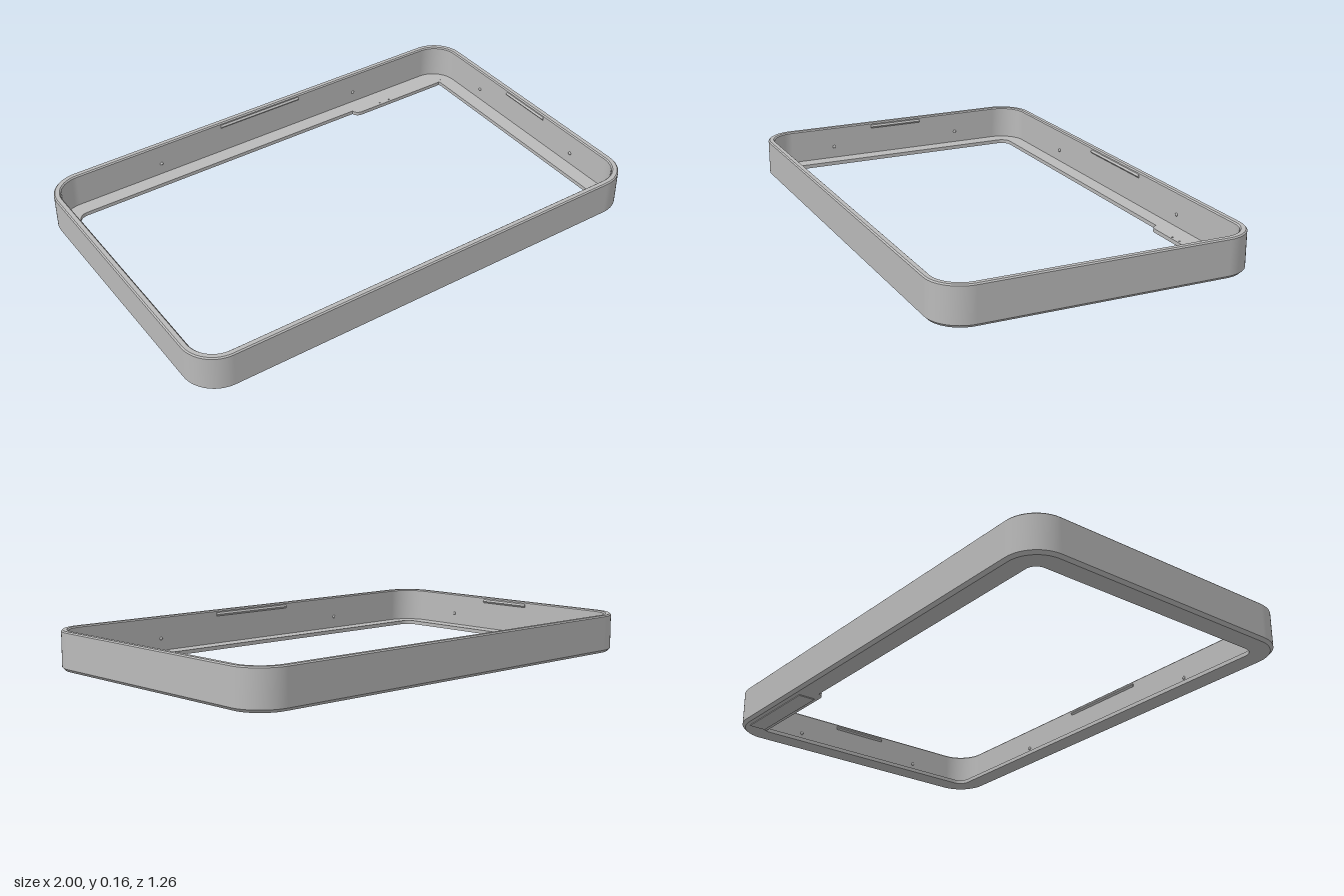
import * as THREE from 'three';

const HALF_X = 1, HALF_Z = 0.631, CORNER = 0.135, SEG = 14;
const grey = new THREE.MeshStandardMaterial({ color: 0xbababa });
grey.name = 'plain grey';

// Points of a rounded rectangle inset from the outer outline
function outline(inset) {
  const r = Math.max(CORNER - inset, 0.035);
  const cx = HALF_X - inset - r, cz = HALF_Z - inset - r;
  const pts = [];
  [[1, 1], [-1, 1], [-1, -1], [1, -1]].forEach(([sx, sz], q) => {
    for (let i = 0; i <= SEG; i++) {
      const a = (q + i / SEG) * Math.PI / 2;
      pts.push([sx * cx + r * Math.cos(a), sz * cz + r * Math.sin(a)]);
    }
  });
  return pts;
}

// One smooth band between two [inset, y] rings; separate bands keep edges sharp
function band([i0, y0], [i1, y1]) {
  const a = outline(i0), b = outline(i1), n = a.length;
  const pos = [], index = [];
  a.forEach(([x, z]) => pos.push(x, y0, z));
  b.forEach(([x, z]) => pos.push(x, y1, z));
  for (let i = 0; i < n; i++) {
    const j = (i + 1) % n;
    index.push(i, n + i, j, j, n + i, n + j);
  }
  const g = new THREE.BufferGeometry();
  g.setAttribute('position', new THREE.Float32BufferAttribute(pos, 3));
  g.setIndex(index);
  g.computeVertexNormals();
  return g;
}

export function createModel() {
  const model = new THREE.Group();
  model.name = 'bezelFrame';
  const add = (name, geometry, x = 0, y = 0, z = 0, parent = model) => {
    const m = new THREE.Mesh(geometry, grey);
    m.name = name;
    m.position.set(x, y, z);
    parent.add(m);
    return m;
  };

  // Closed cross-section: outer wall, rim, inner wall, flange, underside
  const profile = [
    [0.012, 0.004], [0.004, 0.012], [0, 0.016], [0, 0.156], [0.005, 0.161],
    [0.022, 0.161], [0.027, 0.156], [0.027, 0.02], [0.091, 0.02], [0.091, 0.004],
  ];
  const names = ['lowerChamfer', 'lowerEdge', 'outerWall', 'topBevel', 'rim',
    'innerBevel', 'innerWall', 'flangeTop', 'flangeEdge', 'underside'];
  names.forEach((name, i) => add(name, band(profile[i], profile[(i + 1) % profile.length])));

  // Wider part of the flange at the back left, with a rounded step
  const s = new THREE.Shape();
  s.moveTo(0.44, 0.56);
  s.lineTo(0.44, 0.541);
  s.quadraticCurveTo(0.445, 0.513, 0.475, 0.513);
  s.lineTo(0.895, 0.513);
  s.quadraticCurveTo(0.909, 0.513, 0.909, 0.525);
  s.lineTo(0.93, 0.525);
  s.lineTo(0.93, 0.56);
  s.closePath();
  for (const x of [0.58, 0.63]) {
    const hole = new THREE.Path();
    hole.absarc(x, 0.526, 0.004, 0, Math.PI * 2, true);
    s.holes.push(hole);
  }
  const tab = new THREE.ExtrudeGeometry(s, { depth: 0.0158, bevelEnabled: false, curveSegments: 8 });
  tab.rotateX(-Math.PI / 2);
  add('wideFlange', tab, 0, 0.0043, 0);
  add('undersidePad', new THREE.BoxGeometry(0.4, 0.006, 0.07), 0.69, 0.003, -0.565);

  // Snap ridges near the rim and small round nubs inside each wall
  const sides = [
    [0, HALF_Z, 0.39, 0.485], [Math.PI, HALF_Z, 0.39, 0.485],
    [Math.PI / 2, HALF_X, 0.24, 0.3], [-Math.PI / 2, HALF_X, 0.24, 0.3],
  ];
  const nub = new THREE.SphereGeometry(0.007, 12, 8);
  for (const [turn, half, length, offset] of sides) {
    const side = new THREE.Group();
    side.name = 'wallClips';
    side.rotation.y = turn;
    model.add(side);
    const wall = half - 0.027;
    // Triangular ridge running along the wall
    const tri = new THREE.Shape([
      new THREE.Vector2(0.002, -0.01), new THREE.Vector2(0.002, 0.01), new THREE.Vector2(-0.006, 0),
    ]);
    const ridge = new THREE.ExtrudeGeometry(tri, { depth: length, bevelEnabled: false });
    ridge.translate(0, 0, -length / 2);
    ridge.rotateY(-Math.PI / 2);
    add('snapRidge', ridge, 0, 0.143, wall, side);
    for (const x of [-offset, offset]) add('nub', nub, x, 0.07, wall, side);
  }
  return model;
}
